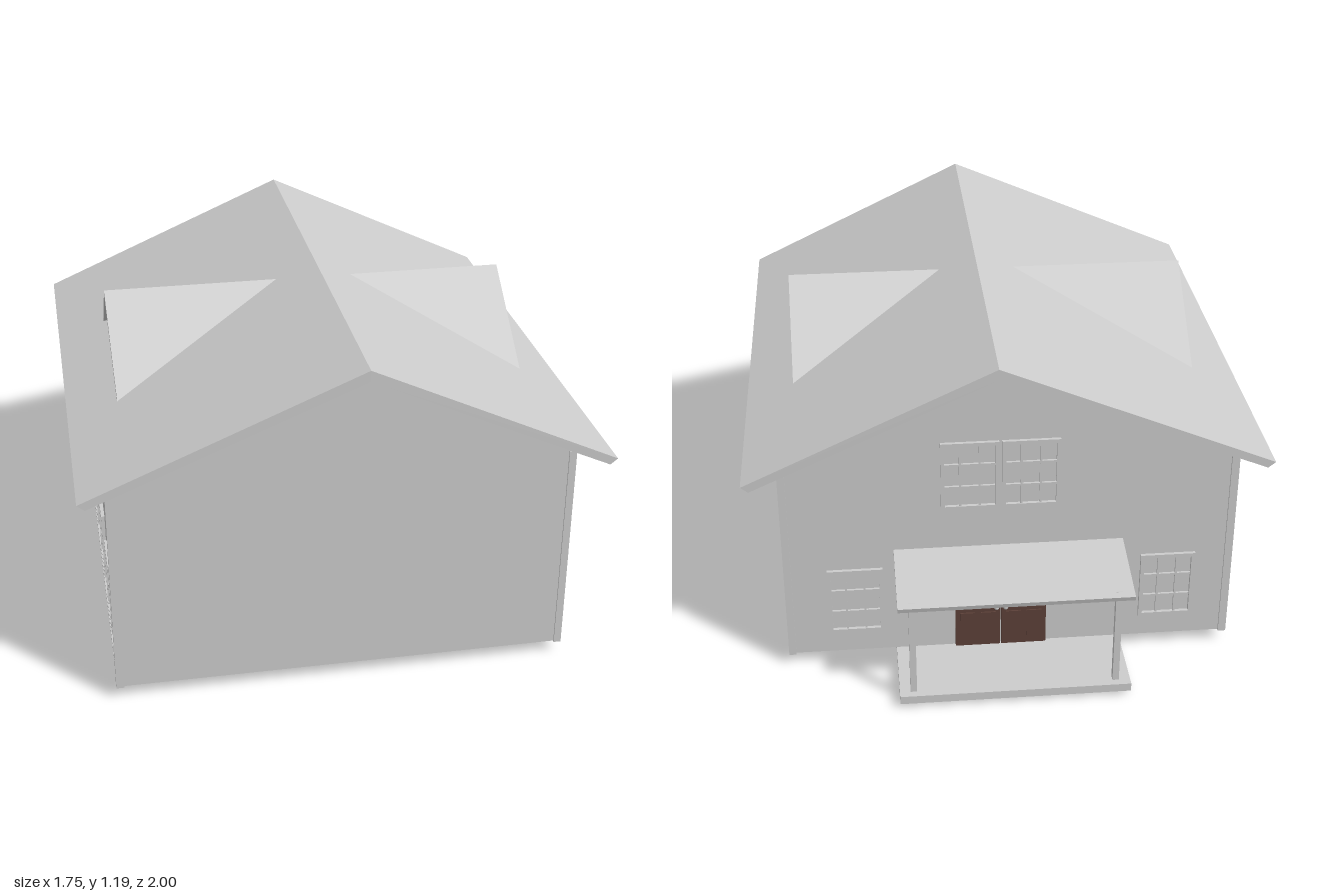
import * as THREE from 'three';
import { ConvexGeometry } from 'three/addons/geometries/ConvexGeometry.js';

const grey = new THREE.MeshStandardMaterial({ color: 0xcccccc });
const brown = new THREE.MeshStandardMaterial({ color: 0x5c4038 });

const RIDGE_X = 0.04, RIDGE_Y = 1.19, EAVE_Y = 0.8;

function add(parent, name, geometry, material = grey) {
  const mesh = new THREE.Mesh(geometry, material);
  mesh.name = name;
  parent.add(mesh);
  return mesh;
}

// Box given by its lower and upper limits on each axis
function box(parent, name, [x0, x1], [y0, y1], [z0, z1], material) {
  const mesh = add(parent, name, new THREE.BoxGeometry(x1 - x0, y1 - y0, z1 - z0), material);
  mesh.position.set((x0 + x1) / 2, (y0 + y1) / 2, (z0 + z1) / 2);
  return mesh;
}

function hull(parent, name, points) {
  return add(parent, name, new ConvexGeometry(points.map(p => new THREE.Vector3(...p))));
}

// Framed window with 3 x 3 panes, facing +z, centred on its origin
function makeWindow(name, w, h, frame, depth) {
  const g = new THREE.Group();
  g.name = name;
  const bar = frame * 0.55;
  for (const s of [-1, 1]) {
    const x = s * (w - frame) / 2, y = s * (h - frame) / 2;
    box(g, 'frameSide', [x - frame / 2, x + frame / 2], [-h / 2, h / 2], [0, depth]);
    box(g, 'frameRail', [-w / 2, w / 2], [y - frame / 2, y + frame / 2], [0, depth]);
    box(g, 'verticalBar', [s * w / 6 - bar / 2, s * w / 6 + bar / 2], [-h / 2, h / 2], [0, depth * 0.7]);
    box(g, 'horizontalBar', [-w / 2, w / 2], [s * h / 6 - bar / 2, s * h / 6 + bar / 2], [0, depth * 0.7]);
  }
  return g;
}

function placeWindow(parent, name, [x, y, z], turn, w = 0.19, h = 0.255, frame = 0.013, depth = 0.012) {
  const win = makeWindow(name, w, h, frame, depth);
  win.position.set(x, y, z);
  win.rotation.y = turn;
  parent.add(win);
}

function addRoofSide(house, eaveX) {
  const s = Math.sign(eaveX), points = [];
  for (const [ridgeZ, eaveZ] of [[1, 0.985], [-0.85, -0.84]]) {
    points.push([RIDGE_X, RIDGE_Y, ridgeZ], [RIDGE_X, RIDGE_Y - 0.037, ridgeZ],
      [eaveX, EAVE_Y, eaveZ], [eaveX - s * 0.025, EAVE_Y - 0.02, eaveZ]);
  }
  hull(house, 'roofSide', points);
}

// Gabled dormer with a horizontal ridge that runs back into the main roof
function addDormer(house, side, eaveX) {
  const g = new THREE.Group();
  g.name = 'dormer';
  house.add(g);
  const slope = (RIDGE_Y - EAVE_Y) / Math.abs(eaveX - RIDGE_X);
  const roofY = x => RIDGE_Y - Math.abs(x - RIDGE_X) * slope;
  const top = 1.13, zc = 0.07, half = 0.36, t = 0.022;
  const backX = RIDGE_X + side * (RIDGE_Y - top) / slope;
  const cornerX = side * 0.705;
  for (const s of [-1, 1]) {
    const tri = [[backX, top, zc], [side * 0.712, top, zc], [cornerX, roofY(cornerX), zc + s * half]];
    hull(g, 'dormerRoof', [...tri, ...tri.map(([x, y, z]) => [x, y - t, z])]);
  }
  // Slightly recessed gable wall
  const wallX = side * 0.675, base = roofY(wallX) - 0.02;
  const wall = [[top - 0.012, zc], [base, zc + half - 0.02], [base, zc - half + 0.02]];
  hull(g, 'dormerWall', [wallX, wallX - side * 0.02].flatMap(x => wall.map(([y, z]) => [x, y, z])));
  placeWindow(g, 'dormerWindow', [wallX, 0.978, 0.085], side * Math.PI / 2, 0.145, 0.12, 0.007, 0.008);
}

function addDoor(house) {
  const g = new THREE.Group();
  g.name = 'doubleDoor';
  g.position.set(0.02, 0.045, -0.725);
  g.rotation.y = Math.PI;
  house.add(g);
  for (const s of [-1, 1]) {
    const leaf = box(g, 'doorLeaf', [-0.078, 0.078], [0, 0.34], [0, 0.012], brown);
    leaf.position.x = s * 0.08;
    for (const dx of [-0.036, 0.036]) {
      for (const [y0, y1] of [[0.03, 0.14], [0.18, 0.315]]) {
        const x = s * 0.08 + dx;
        box(g, 'doorPanel', [x - 0.026, x + 0.026], [y0, y1], [0.01, 0.017], brown);
      }
    }
    const knob = add(g, 'doorKnob', new THREE.SphereGeometry(0.009, 10, 8));
    knob.position.set(s * 0.016, 0.165, 0.025);
  }
}

function addPorch(house) {
  const g = new THREE.Group();
  g.name = 'porch';
  house.add(g);
  box(g, 'porchFloor', [-0.4, 0.385], [0.015, 0.045], [-1, 0.64]);
  for (const x of [-0.35, 0.338]) {
    box(g, 'porchPost', [x - 0.011, x + 0.011], [0, 0.41], [-0.975, -0.953]);
  }
  const profile = [[0.455, -0.725], [0.435, -0.725], [0.388, -0.995], [0.405, -1]];
  hull(g, 'porchRoof', [-0.4, 0.385].flatMap(x => profile.map(([y, z]) => [x, y, z])));
}

export function createModel() {
  const house = new THREE.Group();
  house.name = 'house';

  // Walls with gables
  const outline = new THREE.Shape([[-0.77, 0.045], [0.748, 0.045], [0.748, 0.83], [RIDGE_X, 1.165], [-0.77, 0.82]]
    .map(p => new THREE.Vector2(...p)));
  const walls = add(house, 'walls', new THREE.ExtrudeGeometry(outline, { depth: 1.625, bevelEnabled: false }));
  walls.position.z = -0.725;

  // Corner boards and base boards
  for (const [x0, x1] of [[-0.785, -0.758], [0.735, 0.76]]) {
    box(house, 'frontCornerBoard', [x0, x1], [0.042, 0.795], [0.875, 0.905]);
    box(house, 'backCornerBoard', [x0, x1], [0.042, 0.795], [-0.732, -0.705]);
    box(house, 'baseBoard', [x0 + 0.004, x1 - 0.004], [0.042, 0.056], [-0.725, 0.9]);
  }

  // Main roof and dormers
  addRoofSide(house, -0.875);
  addRoofSide(house, 0.87);
  addDormer(house, -1, -0.875);
  addDormer(house, 1, 0.87);

  // Side windows
  for (const z of [0.61, 0.26, -0.12, -0.47]) {
    placeWindow(house, 'leftWindow', [0.748, 0.257, z], Math.PI / 2);
    placeWindow(house, 'rightWindow', [-0.77, 0.257, z], -Math.PI / 2);
  }

  // Back windows: one each side of the door, a pair above
  for (const x of [0.52, -0.56]) placeWindow(house, 'backWindow', [x, 0.257, -0.725], Math.PI);
  for (const x of [0.125, -0.08]) placeWindow(house, 'upperWindow', [x, 0.737, -0.725], Math.PI, 0.195);

  addDoor(house);
  addPorch(house);
  return house;
}
